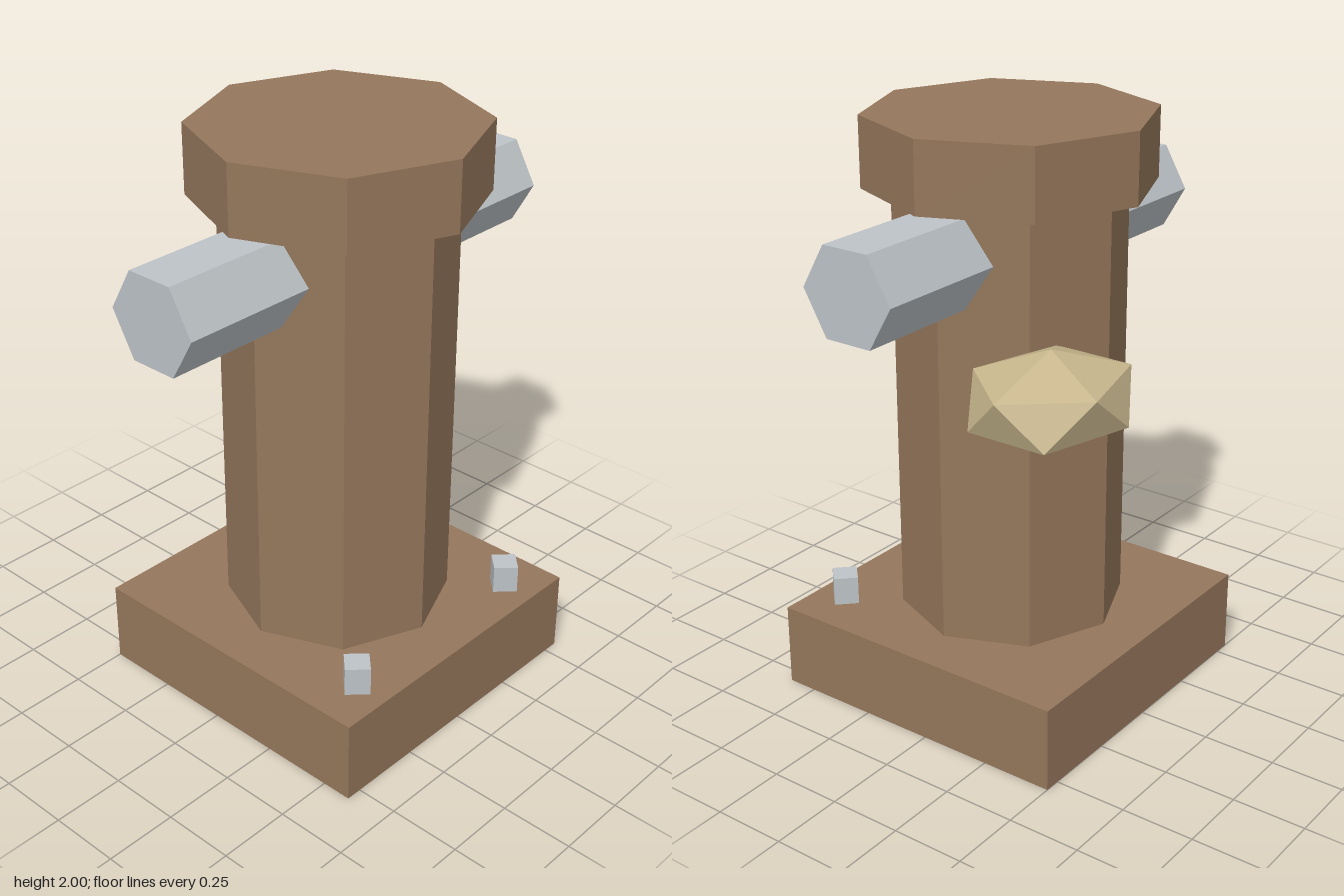
import * as THREE from 'three';

const material = (name, color) => {
  const m = new THREE.MeshStandardMaterial({ color, flatShading: true });
  m.name = name;
  return m;
};

export function createModel() {
  const model = new THREE.Group();
  model.name = 'post';
  const brown = material('brown', 0x94765b);
  const silver = material('silver', 0xbdc3c7);
  const sand = material('sand', 0xc8b78d);
  const axisZ = 0.05; // the post stands slightly forward of the origin

  const add = (name, geometry, mat, x, y, z) => {
    const mesh = new THREE.Mesh(geometry, mat);
    mesh.name = name;
    mesh.position.set(x, y, z);
    model.add(mesh);
    return mesh;
  };

  // Square base, eight-sided column and cap
  add('base', new THREE.BoxGeometry(1.11, 0.29, 1.105), brown, 0, 0.145, axisZ + 0.0025);
  add('column', new THREE.CylinderGeometry(0.385, 0.385, 1.475, 8), brown, 0, 1.0275, axisZ);
  add('cap', new THREE.CylinderGeometry(0.48, 0.48, 0.235, 8), brown, 0, 1.8825, axisZ);

  // Six-sided side arms with flat tops, and diamond bolts at the front corners
  const armGeometry = new THREE.CylinderGeometry(0.167, 0.167, 0.595, 6).rotateZ(Math.PI / 2);
  const boltGeometry = new THREE.CylinderGeometry(0.059, 0.059, 0.1, 4);
  for (const [side, s] of [['left', 1], ['right', -1]]) {
    add(side + 'Arm', armGeometry, silver, s * 0.4975, 1.597, axisZ);
    add(side + 'Bolt', boltGeometry, silver, s * 0.385, 0.34, 0.486);
  }

  // Squashed faceted knob at the back left, turned so one corner points up
  const knobGeometry = new THREE.IcosahedronGeometry(1, 0)
    .rotateZ(-Math.atan(2 / (1 + Math.sqrt(5))))
    .scale(0.313, 0.155, 0.265);
  add('knob', knobGeometry, sand, 0.385, 1.256, -0.382);

  return model;
}
